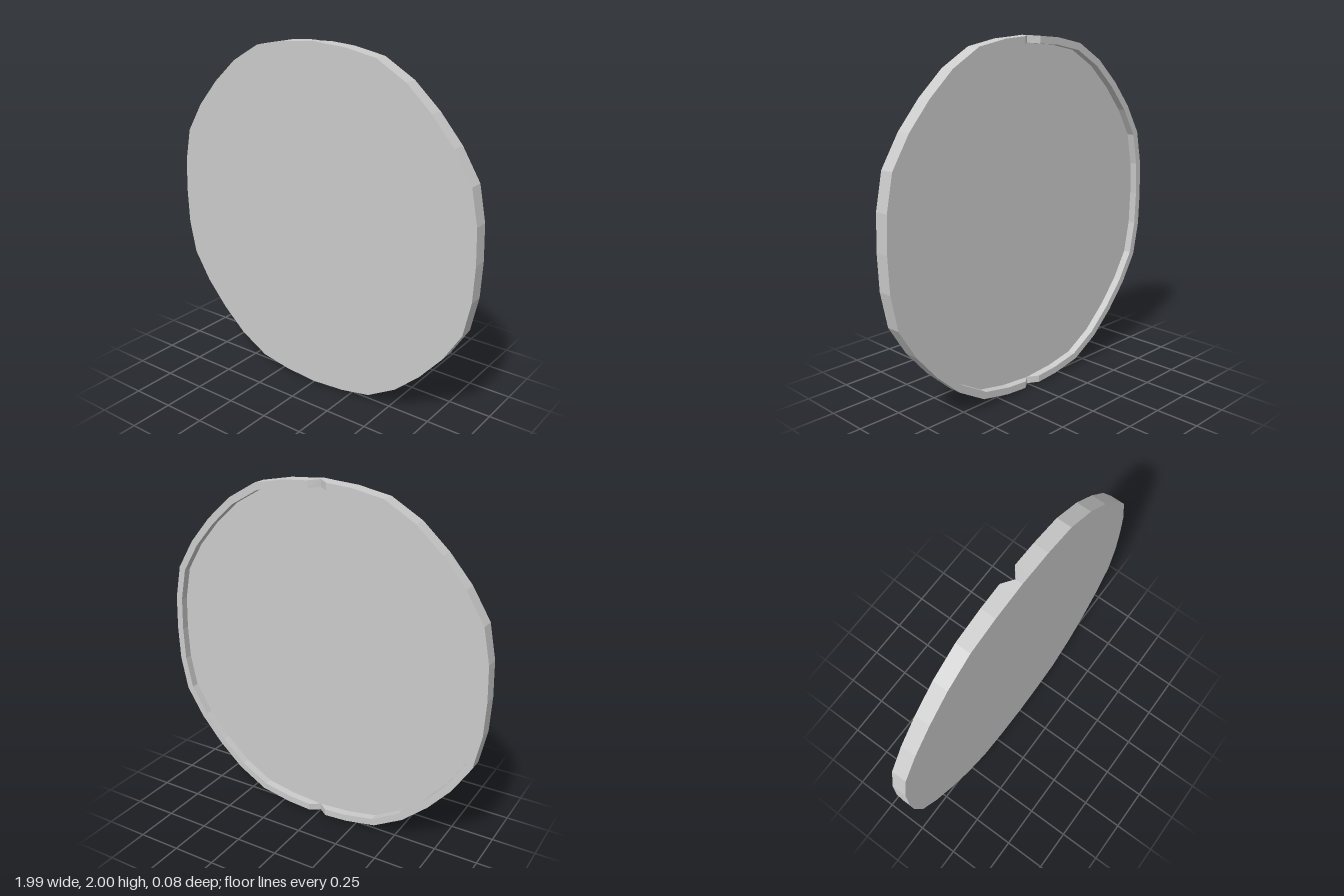
import * as THREE from 'three';

const HALF = 0.042;  // half thickness
const FLOOR = 0.003; // depth level of the recessed back and the notch tips
const INNER = 0.96;  // inner edge of the rim relative to the outline

// One quarter of the faceted outline, relative to the centre, from top to side
const quarter = [[0, 1], [0.058, 0.995], [0.2, 0.985], [0.385, 0.95], [0.56, 0.85],
  [0.71, 0.715], [0.84, 0.565], [0.945, 0.395], [0.985, 0.2], [0.993, 0]];

// Full outline, counter-clockwise seen from the front
function outline() {
  const right = [...quarter, ...quarter.slice(0, -1).reverse().map(([x, y]) => [x, -y])];
  const left = right.slice(1, -1).map(([x, y]) => [-x, y]);
  return [...right.reverse(), ...left];
}

function discGeometry() {
  const pts = outline();
  // Rings from the front cap, around the rim, to the centre of the recessed back
  const rings = pts.map(([x, y]) => {
    const back = Math.abs(x) < 1e-6 ? FLOOR : -HALF; // V notch at top and bottom
    const at = (s, z) => [x * s, y * s + 1, z];
    return [at(0, HALF), at(1, HALF), at(1, back), at(INNER, back), at(INNER, FLOOR), at(0, FLOOR)];
  });
  const pos = [];
  rings.forEach((a, i) => {
    const b = rings[(i + 1) % rings.length];
    for (let k = 0; k < a.length - 1; k++) {
      if (k > 0) pos.push(...a[k], ...a[k + 1], ...b[k]);
      if (k < a.length - 2) pos.push(...b[k], ...a[k + 1], ...b[k + 1]);
    }
  });
  const g = new THREE.BufferGeometry();
  g.setAttribute('position', new THREE.Float32BufferAttribute(pos, 3));
  g.computeVertexNormals();
  return g;
}

export function createModel() {
  const group = new THREE.Group();
  group.name = 'notchedDisc';
  const mat = new THREE.MeshStandardMaterial({ color: 0xcccccc, flatShading: true, side: THREE.DoubleSide });
  const disc = new THREE.Mesh(discGeometry(), mat);
  disc.name = 'discWithRim';
  group.add(disc);
  return group;
}
